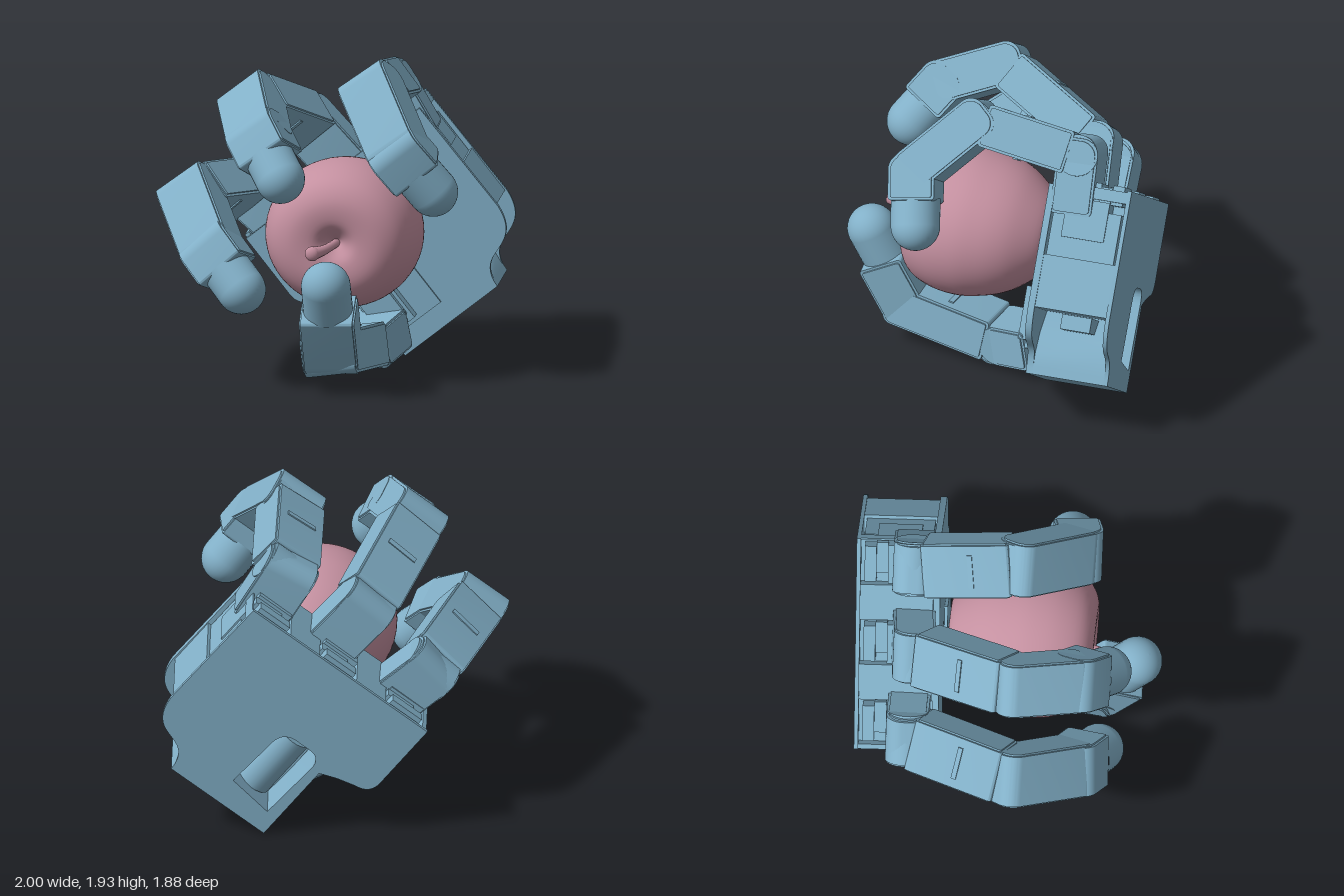
import * as THREE from 'three';
import { toCreasedNormals } from 'three/addons/utils/BufferGeometryUtils.js';

const V = (x, y, z) => new THREE.Vector3(x, y, z);
const shell = new THREE.MeshStandardMaterial({ color: 0x82b0c8 });
const skin = new THREE.MeshStandardMaterial({ color: 0xc490a0 });

function add(parent, name, geometry, material = shell) {
  const mesh = new THREE.Mesh(geometry, material);
  mesh.name = name;
  parent.add(mesh);
  return mesh;
}

function box(parent, name, u0, u1, v0, v1, z0, z1) {
  const mesh = add(parent, name, new THREE.BoxGeometry(u1 - u0, v1 - v0, z1 - z0));
  mesh.position.set((u0 + u1) / 2, (v0 + v1) / 2, (z0 + z1) / 2);
}

// Rounded rectangle used as the side profile of a finger link
function roundedProfile(x0, x1, h, r0, r1) {
  const s = new THREE.Shape();
  s.absarc(x0 + r0, -h + r0, r0, Math.PI, Math.PI * 1.5);
  s.absarc(x1 - r1, -h + r1, r1, Math.PI * 1.5, Math.PI * 2);
  s.absarc(x1 - r1, h - r1, r1, 0, Math.PI / 2);
  s.absarc(x0 + r0, h - r0, r0, Math.PI / 2, Math.PI);
  return s;
}

// Link from a to b; side is the hinge direction, the outer face points along d x side
function link(parent, name, a, b, side, o = {}) {
  const { width = 0.34, thick = 0.26, over0 = 0.1, over1 = 0.1, r0 = 0.1, r1 = 0.07, slat = false } = o;
  const d = b.clone().sub(a);
  const length = d.length();
  d.normalize();
  const n = d.clone().cross(side).normalize();
  const g = new THREE.Group();
  g.name = name;
  g.matrix.makeBasis(d, n, d.clone().cross(n)).setPosition(a);
  g.matrix.decompose(g.position, g.quaternion, g.scale);
  parent.add(g);

  const body = (suffix, w, h, inset) => {
    const profile = roundedProfile(-over0 + inset, length + over1 - inset, h, r0 - inset / 2, r1 - inset / 2);
    const geo = new THREE.ExtrudeGeometry(profile, { depth: w, bevelEnabled: false, curveSegments: 8 });
    geo.translate(0, 0, -w / 2);
    add(g, name + suffix, toCreasedNormals(geo, 0.5));
  };
  body('Body', width - 0.02, thick / 2, 0);
  body('SidePlates', width, thick / 2 - 0.015, 0.015);
  if (slat) box(g, name + 'Slat', length * 0.53, length * 0.53 + 0.03, -thick / 2 - 0.008, thick / 2 + 0.008, -width * 0.3, width * 0.3);
}

function knuckle(parent, name, p, side) {
  const m = add(parent, name, new THREE.CylinderGeometry(0.125, 0.125, 0.31, 28));
  m.position.copy(p);
  m.quaternion.setFromUnitVectors(V(0, 1, 0), side.clone().normalize());
}

// Half round tip on a straight sleeve that starts at the flat end of the last link
function fingertip(parent, from, to) {
  const r = 0.148, length = from.distanceTo(to);
  const profile = [new THREE.Vector2(r, 0)];
  for (let i = 0; i <= 14; i++) {
    const a = i / 14 * Math.PI / 2;
    profile.push(new THREE.Vector2(Math.max(r * Math.cos(a), 0.0005), length + r * Math.sin(a)));
  }
  const dome = add(parent, 'fingertip', new THREE.LatheGeometry(profile, 32));
  dome.position.copy(from);
  dome.quaternion.setFromUnitVectors(V(0, 1, 0), to.clone().sub(from).normalize());
}

// A full digit: base link, long links, short end link and domed tip (the thumb has one link less)
function digit(parent, name, [base, j1, j2, j3, tip], side) {
  const g = new THREE.Group();
  g.name = name;
  parent.add(g);
  link(g, 'baseLink', base, j1, side, { width: 0.32, thick: 0.25, over0: 0.06, over1: 0.125, r0: 0.03, r1: 0.1 });
  knuckle(g, 'lowerKnuckle', j1, side);
  link(g, 'lowerLink', j1, j2, side, { over0: -0.07, over1: j3 ? -0.06 : 0.1, r0: 0.02, r1: j3 ? 0.02 : 0.06, slat: true });
  knuckle(g, 'middleKnuckle', j2, side);
  if (j3) link(g, 'middleLink', j2, j3, side, { width: 0.33, over0: 0.125, over1: 0.06, r0: 0.09 });
  const start = j3 || j2;
  const mid = start.clone().lerp(tip, j3 ? 0.5 : 0.62);
  link(g, 'endLink', start, mid, side, { width: 0.33, thick: 0.28, over1: 0.02, r1: 0.02 });
  fingertip(g, mid, tip);
}

// Palm outline; the core is set back where the side is open between the plates
function palmOutline(core, top) {
  const s = new THREE.Shape();
  s.moveTo(0.324, -0.23);
  s.lineTo(1.026, -0.23);
  if (core) {
    [[1.03, -0.19], [1.04, -0.1], [1.0, 0.02], [0.88, 0.16], [1.32, 0.16], [1.32, 0.48], [1.16, 0.48], [1.16, 0.85], [1.32, 0.85], [1.32, top]]
      .forEach(p => s.lineTo(...p));
    for (const u of [1.17, 0.67, 0.17]) {
      s.lineTo(u + 0.14, top);
      s.lineTo(u + 0.14, 0.85);
      s.lineTo(u - 0.14, 0.85);
      s.lineTo(u - 0.14, top);
    }
  } else {
    s.lineTo(1.03, -0.19);
    s.bezierCurveTo(1.07, 0.02, 1.3, -0.14, 1.33, 0.15);
    s.lineTo(1.32, top);
  }
  s.lineTo(0.0, top);
  s.lineTo(0.0, 0.48);
  s.quadraticCurveTo(0.0, 0.38, 0.1, 0.37);
  s.lineTo(0.22, 0.34);
  s.lineTo(0.324, 0.3);
  s.closePath();
  const hole = new THREE.Path();
  hole.moveTo(0.4, -0.1);
  hole.lineTo(0.38, 0.3);
  hole.quadraticCurveTo(0.38, 0.39, 0.47, 0.39);
  hole.lineTo(0.58, 0.39);
  hole.quadraticCurveTo(0.66, 0.38, 0.67, 0.3);
  hole.lineTo(0.69, -0.06);
  hole.closePath();
  s.holes.push(hole);
  return s;
}

function buildPalm(parent) {
  const palm = new THREE.Group();
  palm.name = 'palm';
  palm.position.set(0, 0, -0.345);
  palm.rotation.set(-0.03, 0.07, 0.672);
  parent.add(palm);
  const layer = (name, core, top, z0, z1) => {
    const geo = new THREE.ExtrudeGeometry(palmOutline(core, top), { depth: z1 - z0, bevelEnabled: false, curveSegments: 20 });
    geo.translate(0, 0, z0);
    add(palm, name, toCreasedNormals(geo, 0.5));
  };
  layer('frontPlate', false, 0.9, -0.04, 0);
  layer('palmCore', true, 0.92, -0.475, -0.04);
  layer('backPlate', false, 0.93, -0.5, -0.475);

  // Stepped finger mounts along the upper edge
  for (const u of [1.17, 0.67, 0.17]) {
    box(palm, 'mountStep', u - 0.11, u + 0.11, 0.83, 0.95, -0.45, -0.38);
    box(palm, 'mountStep', u - 0.06, u + 0.13, 0.83, 0.93, -0.38, -0.31);
    box(palm, 'mountHinge', u - 0.12, u + 0.12, 0.83, 0.95, -0.31, -0.06);
  }
  // Drive parts inside the side openings
  box(palm, 'sideDrive', 1.15, 1.3, 0.48, 0.78, -0.46, -0.05);
  box(palm, 'sideDriveCap', 1.15, 1.31, 0.6, 0.84, -0.38, -0.12);
  box(palm, 'lowerDrive', 0.87, 1.14, 0.06, 0.15, -0.36, -0.18);
  // Thumb mount passing through the palm
  const drive = add(palm, 'thumbDrive', new THREE.CylinderGeometry(0.125, 0.125, 0.4, 28));
  drive.position.set(0.54, 0.12, -0.27);
  box(palm, 'thumbDriveHousing', 0.39, 0.67, -0.09, 0.36, -0.25, 0);
  box(palm, 'thumbPlate', 0.38, 0.7, -0.1, 0.3, -0.02, 0.02);
  box(palm, 'thumbMount', 0.31, 0.54, -0.07, 0.32, -0.02, 0.12);
  box(palm, 'thumbMountCap', 0.33, 0.52, -0.02, 0.3, 0.11, 0.17);
}

function buildApple(parent) {
  const apple = new THREE.Group();
  apple.name = 'apple';
  apple.position.set(0.135, 0.895, 0);
  parent.add(apple);
  const profile = new THREE.SplineCurve([
    [0.001, -0.29], [0.08, -0.31], [0.17, -0.335], [0.24, -0.31], [0.34, -0.2], [0.4, -0.1], [0.44, 0.02], [0.462, 0.16],
    [0.445, 0.32], [0.38, 0.46], [0.27, 0.53], [0.14, 0.53], [0.06, 0.48], [0.001, 0.42],
  ].map(p => new THREE.Vector2(...p))).getPoints(60);
  const flesh = add(apple, 'appleBody', new THREE.LatheGeometry(profile, 56), skin);
  flesh.rotation.x = Math.PI / 2;
  flesh.scale.set(1.02, 1, 0.965);

  // Curved stem that thickens toward its end
  const path = new THREE.CatmullRomCurve3([V(0, -0.01, 0.38), V(-0.015, -0.01, 0.5), V(-0.05, -0.015, 0.62), V(-0.1, -0.02, 0.7)]);
  const rings = 24, sides = 14;
  const stem = new THREE.TubeGeometry(path, rings, 1, sides);
  const pos = stem.attributes.position;
  for (let i = 0; i < pos.count; i++) {
    const t = Math.floor(i / (sides + 1)) / rings;
    const c = path.getPointAt(t);
    const r = 0.026 + 0.018 * Math.pow(t, 4);
    const p = V(0, 0, 0).fromBufferAttribute(pos, i).sub(c).multiplyScalar(r).add(c);
    pos.setXYZ(i, p.x, p.y, p.z);
  }
  add(apple, 'stem', stem, skin);
  const knob = add(apple, 'stemEnd', new THREE.SphereGeometry(0.044, 18, 12), skin);
  knob.position.copy(path.getPoint(1));
  knob.scale.z = 0.7;
}

export function createModel() {
  const model = new THREE.Group();
  model.name = 'robotHandHoldingApple';
  buildPalm(model);
  buildApple(model);
  const across = V(0.78, 0.62, -0.05).normalize();
  digit(model, 'indexFinger', [V(0.4, 1.36, -0.57), V(0.26, 1.6, -0.56), V(0.29, 1.73, 0.09), V(0.5, 1.45, 0.4), V(0.7, 1.2, 0.34)], across);
  digit(model, 'middleFinger', [V(0.03, 1.11, -0.54), V(-0.2, 1.37, -0.51), V(-0.44, 1.64, 0.13), V(-0.33, 1.52, 0.47), V(-0.17, 1.31, 0.64)], across);
  digit(model, 'ringFinger', [V(-0.35, 0.77, -0.52), V(-0.58, 0.97, -0.51), V(-0.8, 1.07, 0.15), V(-0.61, 0.83, 0.5), V(-0.41, 0.62, 0.62)], across);
  digit(model, 'thumb', [V(0.28, 0.2, -0.26), V(0.21, 0.15, -0.07), V(0.13, 0.24, 0.55), null, V(0.135, 0.7, 0.79)], V(-0.97, -0.15, 0).normalize());
  return model;
}
